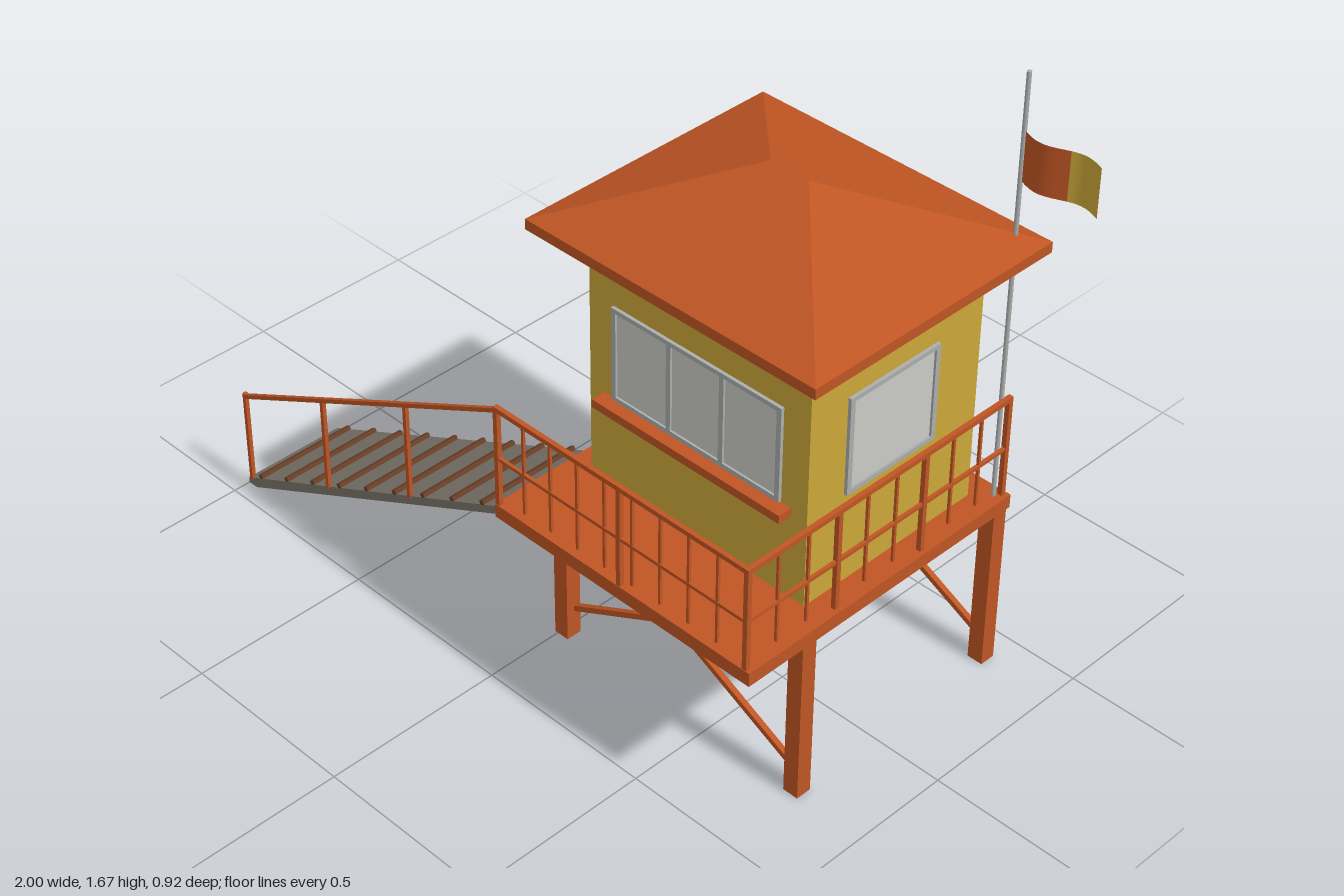
import * as THREE from 'three';

const mat = (name, color, side = THREE.FrontSide) => {
  const m = new THREE.MeshStandardMaterial({ color, side });
  m.name = name;
  return m;
};

export function createModel() {
  const orange = mat('orange paint', 0xbf5524);
  const yellow = mat('yellow paint', 0xcba83a);
  const glass = mat('pale glass', 0xcacac5);
  const metal = mat('grey metal', 0xabaeac);
  const deck = mat('ramp grey', 0x7a756a);
  const soffitGrey = mat('soffit grey', 0x77776f);
  const brown = mat('cleat brown', 0x6a4028);
  const flagOrange = mat('flag orange', 0xbf5524, THREE.DoubleSide);
  const flagYellow = mat('flag yellow', 0xcba83a, THREE.DoubleSide);

  const model = new THREE.Group();
  model.name = 'lifeguardTower';
  const add = (name, geo, m) => {
    const mesh = new THREE.Mesh(geo, m);
    mesh.name = name;
    model.add(mesh);
    return mesh;
  };
  // box given by its extents on each axis
  const box = (name, m, x0, x1, y0, y1, z0, z1) => {
    const mesh = add(name, new THREE.BoxGeometry(x1 - x0, y1 - y0, z1 - z0), m);
    mesh.position.set((x0 + x1) / 2, (y0 + y1) / 2, (z0 + z1) / 2);
    return mesh;
  };
  // square bar between two points
  const bar = (name, m, a, b, t) => {
    const p = new THREE.Vector3(...a), q = new THREE.Vector3(...b);
    const mesh = add(name, new THREE.BoxGeometry(t, t, p.distanceTo(q)), m);
    mesh.position.copy(p).add(q).multiplyScalar(0.5);
    mesh.lookAt(q);
    return mesh;
  };

  // legs, cross braces and platform
  for (const z of [0.257, -0.402]) {
    for (const x of [0.013, 0.788]) box('leg', orange, x - 0.022, x + 0.022, 0, 0.475, z - 0.022, z + 0.022);
    bar('brace', orange, [0.03, 0.085, z - 0.008], [0.775, 0.46, z - 0.008], 0.015);
    bar('brace', orange, [0.03, 0.46, z + 0.008], [0.775, 0.085, z + 0.008], 0.015);
  }
  box('platform', orange, -0.012, 0.815, 0.47, 0.508, -0.43, 0.46);

  // cabin, front header and counter
  box('cabin', yellow, 0.055, 0.745, 0.508, 1.202, -0.357, 0.21);
  box('frontHeader', orange, 0.052, 0.748, 1.11, 1.2, 0.208, 0.221);
  box('counter', orange, 0.1, 0.697, 0.743, 0.766, 0.208, 0.25);

  // front window
  box('frontGlass', glass, 0.14, 0.66, 0.775, 1.025, 0.209, 0.213);
  for (const x of [0.141, 0.318, 0.484, 0.659]) box('frontMullion', metal, x - 0.007, x + 0.007, 0.768, 1.03, 0.209, 0.219);
  for (const y of [0.774, 1.024]) box('frontWindowRail', metal, 0.134, 0.666, y - 0.006, y + 0.006, 0.209, 0.219);

  // side window
  box('sideGlass', glass, 0.744, 0.748, 0.77, 1.03, -0.2, 0.085);
  for (const z of [-0.2, 0.083]) box('sideWindowStile', metal, 0.744, 0.754, 0.765, 1.035, z - 0.007, z + 0.007);
  for (const y of [0.771, 1.029]) box('sideWindowRail', metal, 0.744, 0.754, y - 0.006, y + 0.006, -0.207, 0.09);

  // door with frame, two panes and a raised lower panel
  box('door', orange, 0.05, 0.056, 0.512, 1.08, -0.205, 0.055);
  for (const z of [-0.217, 0.067]) box('doorJamb', metal, 0.042, 0.056, 0.508, 1.1, z - 0.015, z + 0.015);
  box('doorHead', metal, 0.042, 0.056, 1.075, 1.1, -0.232, 0.082);
  for (const z of [-0.13, -0.02]) box('doorPane', glass, 0.046, 0.051, 0.81, 1.045, z - 0.04, z + 0.04);
  box('doorPanel', orange, 0.046, 0.051, 0.55, 0.765, -0.175, 0.025);
  // door lamp
  bar('lampArm', metal, [0.056, 1.14, -0.075], [0.034, 1.147, -0.075], 0.008);
  box('lampHead', metal, 0.031, 0.045, 1.125, 1.145, -0.085, -0.065);

  // roof: fascia slab, soffit plate and hipped top
  box('fascia', orange, -0.045, 0.845, 1.202, 1.23, -0.462, 0.313);
  box('soffit', soffitGrey, -0.04, 0.84, 1.197, 1.203, -0.457, 0.308);
  const A = [-0.045, 1.23, 0.313], B = [0.845, 1.23, 0.313], C = [0.845, 1.23, -0.462], D = [-0.045, 1.23, -0.462];
  const E = [0.342, 1.39, -0.075], F = [0.458, 1.39, -0.075];
  const roofGeo = new THREE.BufferGeometry();
  const faces = [A, B, F, A, F, E, B, C, F, C, D, E, C, E, F, D, A, E];
  roofGeo.setAttribute('position', new THREE.Float32BufferAttribute(faces.flat(), 3));
  roofGeo.computeVertexNormals();
  add('hippedRoof', roofGeo, orange);

  // platform railings along the front and the +x side
  const X0 = -0.005, X1 = 0.797, Z0 = -0.417, Z1 = 0.452;
  for (const y of [0.79, 0.645]) {
    const t = y > 0.7 ? 0.013 : 0.009;
    bar('frontRail', orange, [X0 - 0.006, y, Z1], [X1 + 0.006, y, Z1], t);
    bar('sideRail', orange, [X1, y, Z0 - 0.006], [X1, y, Z1 + 0.006], t);
  }
  for (const x of [X0, 0.4, X1]) bar('railPost', orange, [x, 0.505, Z1], [x, 0.795, Z1], 0.013);
  for (let i = 0; i < 9; i++) {
    const x = X0 + (X1 - X0) * i / 9, z = Z0 + (Z1 - Z0) * i / 9;
    if (i > 0) bar('frontBaluster', orange, [x, 0.53, Z1], [x, 0.79, Z1], 0.007);
    if (i % 3) bar('sideBaluster', orange, [X1, 0.53, z], [X1, 0.79, z], 0.007);
    else bar('railPost', orange, [X1, 0.505, z], [X1, 0.795, z], 0.013);
  }

  // ramp with cleats
  const profile = new THREE.Shape([[-1, 0], [-0.97, 0], [0, 0.477], [0, 0.5], [-1, 0.016]].map(p => new THREE.Vector2(...p)));
  add('ramp', new THREE.ExtrudeGeometry(profile, { depth: 0.3, bevelEnabled: false }), deck).position.z = 0.15;
  for (let i = 0; i < 9; i++) {
    const x = -0.948 + i * 0.1095;
    const cleat = box('cleat', brown, x - 0.007, x + 0.007, 0, 0.012, 0.15, 0.45);
    cleat.position.y = 0.016 + (x + 1) * 0.484 + 0.005;
    cleat.rotation.z = Math.atan(0.484);
  }

  // ramp handrail
  bar('rampRail', orange, [-0.992, 0.287, 0.447], [-0.005, 0.784, 0.447], 0.011);
  for (const x of [-0.987, -0.664, -0.341]) {
    const y = 0.016 + (x + 1) * 0.484;
    bar('rampPost', orange, [x, y - 0.005, 0.447], [x, y + 0.277, 0.447], 0.011);
  }

  // flagpole and waving flag
  const pole = add('flagpole', new THREE.CylinderGeometry(0.006, 0.006, 1.168, 10), metal);
  pole.position.set(0.787, 1.091, -0.4);
  const cloth = (name, m, x0, x1) => {
    const g = new THREE.PlaneGeometry(x1 - x0, 0.13, 8, 1);
    g.translate((x0 + x1) / 2, 1.46, 0);
    const p = g.attributes.position;
    for (let i = 0; i < p.count; i++) p.setZ(i, -0.4 + 0.015 * Math.sin((p.getX(i) - 0.79) / 0.21 * Math.PI * 2));
    g.computeVertexNormals();
    add(name, g, m);
  };
  cloth('flagInner', flagOrange, 0.79, 0.912);
  cloth('flagOuter', flagYellow, 0.912, 1);

  return model;
}
